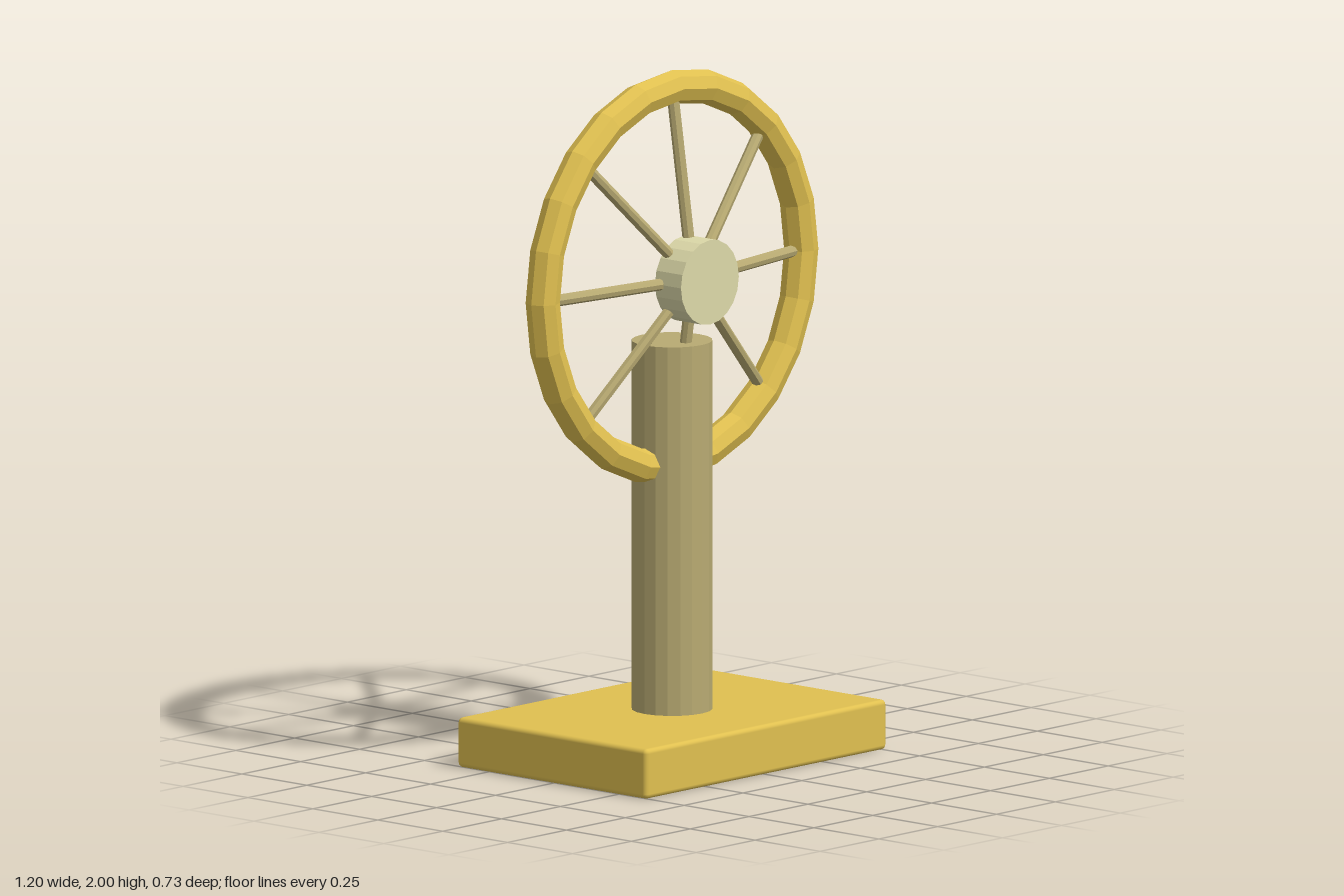
import * as THREE from 'three';
import { RoundedBoxGeometry } from 'three/addons/geometries/RoundedBoxGeometry.js';

const material = (color, flatShading = true) => new THREE.MeshStandardMaterial({ color, flatShading });

export function createModel() {
  const model = new THREE.Group();
  model.name = 'wheelOnPost';
  const gold = material(0xe0c050);
  const bronze = material(0xb8aa72);
  const cream = material(0xdcd8a8);

  const add = (name, geometry, mat, parent = model) => {
    const mesh = new THREE.Mesh(geometry, mat);
    mesh.name = name;
    parent.add(mesh);
    return mesh;
  };

  // Base slab with softened edges
  const base = add('base', new RoundedBoxGeometry(1.024, 0.145, 0.73, 2, 0.014), material(0xe0c050, false));
  base.position.y = 0.0725;

  // Upright post
  const post = add('post', new THREE.CylinderGeometry(0.116, 0.116, 1.1, 20), bronze);
  post.position.y = 0.666;

  // Wheel: rim, hub set forward, and spokes dished towards the hub
  const wheel = new THREE.Group();
  wheel.name = 'wheel';
  wheel.position.y = 1.402;
  model.add(wheel);

  add('rim', new THREE.TorusGeometry(0.549, 0.049, 8, 24), gold, wheel);

  const hub = add('hub', new THREE.CylinderGeometry(0.123, 0.123, 0.1, 20), cream, wheel);
  hub.rotation.x = Math.PI / 2;
  hub.position.z = 0.096;

  const up = new THREE.Vector3(0, 1, 0);
  for (let i = 0; i < 8; i++) {
    const a = (i * Math.PI) / 4;
    const inner = new THREE.Vector3(Math.cos(a) * 0.06, Math.sin(a) * 0.06, 0.072);
    const outer = new THREE.Vector3(Math.cos(a) * 0.545, Math.sin(a) * 0.545, 0);
    const axis = outer.clone().sub(inner);
    const spoke = add('spoke', new THREE.CylinderGeometry(0.017, 0.017, axis.length(), 8), bronze, wheel);
    spoke.position.copy(inner).add(outer).multiplyScalar(0.5);
    spoke.quaternion.setFromUnitVectors(up, axis.normalize());
  }
  return model;
}
